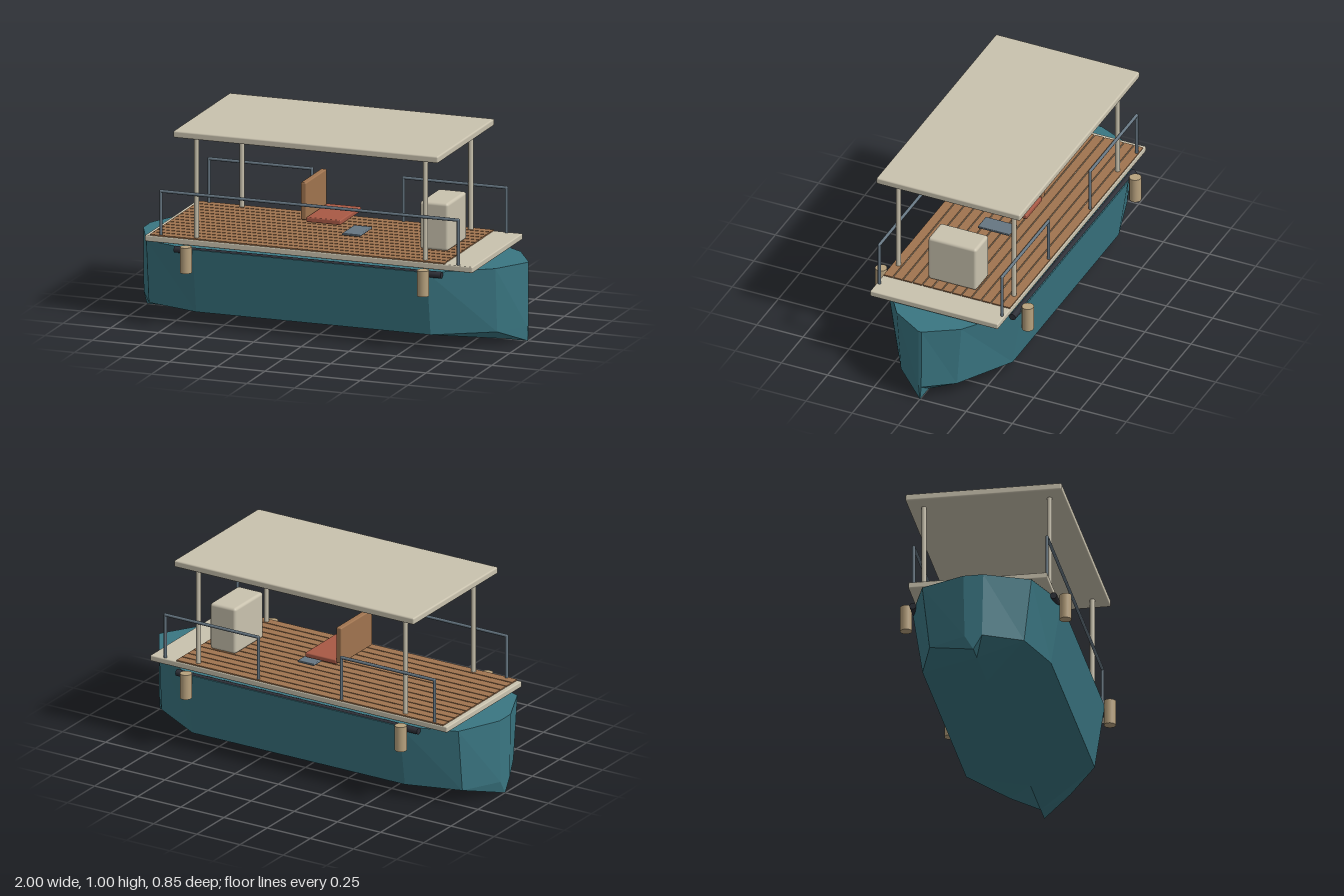
import * as THREE from 'three';
import { RoundedBoxGeometry } from 'three/addons/geometries/RoundedBoxGeometry.js';

const paint = (name, color, extra = {}) => {
  const m = new THREE.MeshStandardMaterial({ color, ...extra });
  m.name = name;
  return m;
};

// Hull lofted from one V-shaped section scaled along the length
function hullGeometry() {
  const stations = [[-1, 0.05], [-0.9, 0.272], [-0.62, 0.37], [0.61, 0.37], [0.895, 0.175], [1, 0.008]];
  const section = [[1, 0.4], [0.865, 0.073], [0, 0], [-0.865, 0.073], [-1, 0.4]];
  const rings = stations.map(([x, w]) => section.map(([s, y]) => [x, y, s * w]));
  const pos = [];
  const tri = (a, b, c) => pos.push(...a, ...b, ...c);
  for (let i = 0; i < rings.length - 1; i++) {
    for (let j = 0; j < 5; j++) {
      const k = (j + 1) % 5;
      const a = rings[i][j], b = rings[i + 1][j], c = rings[i + 1][k], d = rings[i][k];
      tri(a, d, c);
      tri(a, c, b);
    }
  }
  const stern = rings[0], bow = rings[rings.length - 1];
  for (let j = 1; j < 4; j++) {
    tri(stern[0], stern[j + 1], stern[j]);
    tri(bow[0], bow[j], bow[j + 1]);
  }
  const g = new THREE.BufferGeometry();
  g.setAttribute('position', new THREE.Float32BufferAttribute(pos, 3));
  g.computeVertexNormals();
  return g;
}

export function createModel() {
  const boat = new THREE.Group();
  boat.name = 'canopyBoat';

  const teal = paint('hullTeal', 0x3a7682, { flatShading: true });
  const cream = paint('cream', 0xc9c2ae);
  const wood = paint('wood', 0xa0744f);
  const red = paint('cushionRed', 0xa85945);
  const steel = paint('railSteel', 0x667682);
  const tan = paint('fenderTan', 0xb8a27e);
  const dark = paint('darkRubber', 0x2d2f37);

  const add = (name, geometry, material, x, y, z, parent = boat) => {
    const m = new THREE.Mesh(geometry, material);
    m.name = name;
    m.position.set(x, y, z);
    parent.add(m);
    return m;
  };
  // Box given by its lower and upper limits
  const box = (name, mat, [x0, x1], [y0, y1], [z0, z1], r = 0) => {
    const size = [x1 - x0, y1 - y0, z1 - z0];
    const g = r ? new RoundedBoxGeometry(...size, 2, r) : new THREE.BoxGeometry(...size);
    return add(name, g, mat, (x0 + x1) / 2, (y0 + y1) / 2, (z0 + z1) / 2);
  };

  add('hull', hullGeometry(), teal, 0, 0, 0);
  box('deck', cream, [-0.88, 0.84], [0.413, 0.444], [-0.346, 0.346], 0.006);

  // Deck planks
  for (let i = -6; i <= 6; i++) {
    const z = i * 0.053;
    box('plank', wood, [-0.855, 0.69], [0.438, 0.45], [z - 0.0235, z + 0.0235]);
  }

  // Canopy
  box('canopy', cream, [-0.715, 0.675], [0.965, 1], [-0.389, 0.389], 0.008);

  // Console, seat and footrest
  box('console', cream, [0.48, 0.63], [0.45, 0.692], [-0.131, 0.131], 0.015);
  box('seat', red, [-0.11, 0.07], [0.533, 0.558], [-0.143, 0.143], 0.006);
  box('seatBack', wood, [-0.14, -0.11], [0.543, 0.732], [-0.143, 0.143], 0.006);
  box('footrest', steel, [0.055, 0.15], [0.467, 0.478], [-0.085, 0.085], 0.004);

  // Railing span: two uprights and a top bar
  const railing = (x0, x1, z) => {
    const g = new THREE.Group();
    g.name = 'railing';
    boat.add(g);
    const r = 0.008, top = 0.672;
    for (const x of [x0, x1]) {
      add('railPost', new THREE.CylinderGeometry(r, r, top - 0.44, 10), steel, x, (top + 0.44) / 2, z, g);
      add('railCorner', new THREE.SphereGeometry(r, 10, 8), steel, x, top, z, g);
    }
    const bar = add('railBar', new THREE.CylinderGeometry(r, r, x1 - x0, 10), steel, (x0 + x1) / 2, top, z, g);
    bar.rotation.z = Math.PI / 2;
  };
  railing(-0.8, 0.76, 0.332);
  railing(-0.8, -0.26, -0.332);
  railing(0.22, 0.76, -0.332);

  // Posts, fenders and rub rails on both sides
  for (const s of [1, -1]) {
    for (const x of [-0.62, 0.58]) {
      add('canopyPost', new THREE.CylinderGeometry(0.0125, 0.0125, 0.53, 14), cream, x, 0.705, s * 0.313);
    }
    for (const x of [-0.645, 0.6]) {
      add('fender', new THREE.CylinderGeometry(0.03, 0.03, 0.13, 18), tan, x, 0.355, s * 0.397);
    }
    const rub = add('rubRail', new THREE.CylinderGeometry(0.017, 0.017, 1.4, 12), dark, -0.02, 0.39, s * 0.351);
    rub.rotation.z = Math.PI / 2;
  }
  return boat;
}
